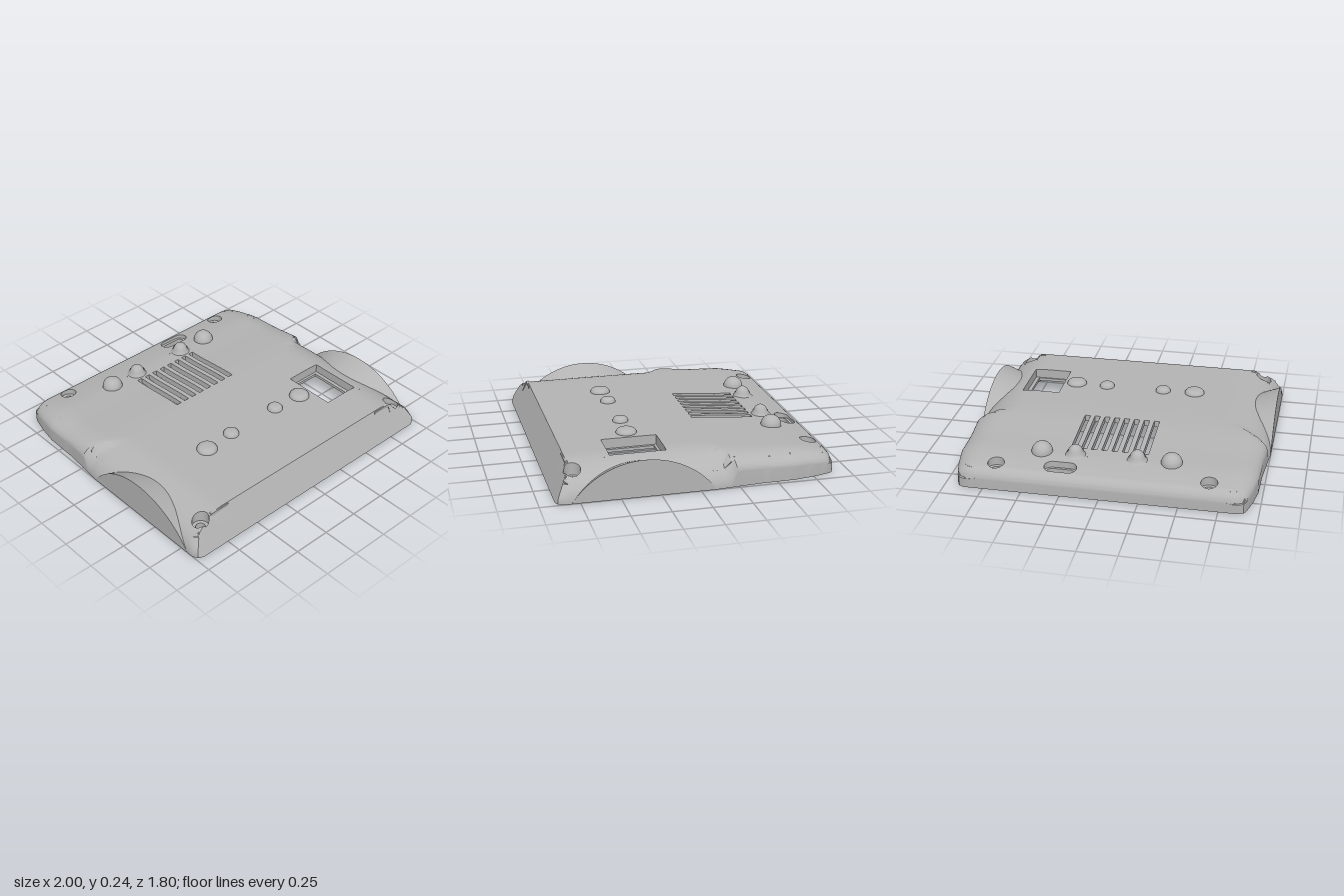
import * as THREE from 'three';
import { toCreasedNormals } from 'three/addons/utils/BufferGeometryUtils.js';

const THICK = 0.04, TOP = 0.205, CELL = 0.04;
const clamp = THREE.MathUtils.clamp, smooth = THREE.MathUtils.smoothstep;

// Half width and crown height along the depth: [z, value]
const WIDTH = [[-0.9, 0.87], [-0.885, 0.905], [-0.86, 0.92], [-0.75, 0.948], [-0.62, 0.97], [-0.4, 0.974],
  [-0.2, 0.99], [-0.1, 1], [0.85, 1], [0.885, 0.985], [0.9, 0.95]];
const CROWN = [[-0.9, 0.125], [-0.84, 0.138], [-0.76, 0.154], [-0.66, 0.17], [-0.56, 0.174], [-0.46, 0.178],
  [-0.34, 0.189], [-0.22, 0.199], [-0.1, 0.204], [0, TOP]];

function lookUp(table, z) {
  for (let i = 1; i < table.length; i++) {
    const [z0, a] = table[i - 1], [z1, b] = table[i];
    if (z <= z1) return a + (b - a) * clamp((z - z0) / (z1 - z0), 0, 1);
  }
  return table[table.length - 1][1];
}

// Height of the outer skin
function height(x, z) {
  const ax = Math.abs(x);
  const seam = -0.06 - 0.48 * (ax - 0.68);
  const front = smooth(z, seam - 0.03, seam + 0.02);
  const inner = 0.8 - 0.1 * front, edge = 0.5 * (1 - front);
  const u = clamp((ax - inner) / (lookUp(WIDTH, z) - inner), 0, 1);
  const v = clamp((-0.84 - z) / 0.06, 0, 1);
  const h = lookUp(CROWN, z) * (edge + (1 - edge) * Math.sqrt(Math.max(0, 1 - u * u - v * v)));
  return Math.max(0, Math.min(h, TOP * (0.9 - z) / 0.1));
}

// Plan contours as [x, z] points
function dense(points, count) {
  return points.flatMap(([x, z], i) => {
    const [x1, z1] = points[(i + 1) % points.length];
    const n = count || Math.max(1, Math.ceil(Math.hypot(x1 - x, z1 - z) / CELL));
    return Array.from({ length: n }, (_, k) => [x + (x1 - x) * k / n, z + (z1 - z) * k / n]);
  });
}
const rect = (x0, x1, z0, z1) => [[x0, z0], [x1, z0], [x1, z1], [x0, z1]];
// Stadium, or a circle when the straight half length is zero
function stadium(cx, cz, r, half = 0) {
  return Array.from({ length: 24 }, (_, i) => {
    const a = (i + 0.5) / 24 * Math.PI * 2;
    return [cx + Math.sign(Math.cos(a)) * half + r * Math.cos(a), cz + r * Math.sin(a)];
  });
}

// Cut triangles along a line so that they can follow the curved skin
function slice(tris, axis, c) {
  const out = [];
  for (const t of tris) {
    const d = t.map(p => p[axis] - c);
    if (Math.min(...d) > -1e-6 || Math.max(...d) < 1e-6) { out.push(t); continue; }
    for (const s of [1, -1]) {
      const poly = [];
      t.forEach((p, i) => {
        const j = (i + 1) % 3, q = t[j];
        if (d[i] * s >= 0) poly.push(p);
        if (d[i] * d[j] < 0) {
          const f = d[i] / (d[i] - d[j]);
          poly.push([p[0] + (q[0] - p[0]) * f, p[1] + (q[1] - p[1]) * f]);
        }
      });
      for (let i = 2; i < poly.length; i++) out.push([poly[0], poly[i - 1], poly[i]]);
    }
  }
  return out;
}
const turn = ([a, b, c]) => (b[0] - a[0]) * (c[1] - a[1]) - (b[1] - a[1]) * (c[0] - a[0]);

// Plan triangles on a square grid; cells without an opening become plain quads
function panel(contour, holes) {
  const vec = list => list.map(([x, z]) => new THREE.Vector2(x, z));
  const all = [contour, ...holes].flat();
  let tris = THREE.ShapeUtils.triangulateShape(vec(contour), holes.map(vec)).map(f => f.map(i => all[i]));
  for (let i = -24; i <= 24; i++) tris = slice(slice(tris, 0, i * CELL), 1, i * CELL);
  const cells = new Map();
  for (const t of tris.filter(t => Math.abs(turn(t)) > 1e-9)) {
    const [i, j] = [0, 1].map(k => Math.floor((t[0][k] + t[1][k] + t[2][k]) / 3 / CELL));
    const key = `${i},${j}`;
    if (!cells.has(key)) cells.set(key, { i, j, area: 0, list: [] });
    const cell = cells.get(key);
    cell.area += Math.abs(turn(t)) / 2;
    cell.list.push(turn(t) > 0 ? [t[0], t[2], t[1]] : t);
  }
  return [...cells.values()].flatMap(({ i, j, area, list }) => {
    if (area < CELL * CELL * 0.9999) return list;
    const [a, b, c, d] = rect(i * CELL, (i + 1) * CELL, j * CELL, (j + 1) * CELL);
    return [[a, d, c], [a, c, b]];
  });
}

// Skin between successive rows of [x, y, z] points
function loft(rows, closed = true) {
  const out = [];
  for (let r = 1; r < rows.length; r++) {
    const a = rows[r - 1], b = rows[r], n = a.length;
    for (let i = 0; i < (closed ? n : n - 1); i++) {
      const j = (i + 1) % n;
      out.push(a[i], b[i], a[j], a[j], b[i], b[j]);
    }
  }
  return out;
}
const level = (c, y) => c.map(([x, z]) => [x, typeof y === 'function' ? y(x, z) : y, z]);

export function createModel() {
  const model = new THREE.Group();
  const grey = new THREE.MeshStandardMaterial({ color: 0xb4b4b4, side: THREE.DoubleSide });
  grey.name = 'plainGrey';
  function add(name, geometry) {
    const mesh = new THREE.Mesh(geometry, grey);
    mesh.name = name;
    model.add(mesh);
    return mesh;
  }
  function addSkin(name, points, crease = 0.5) {
    const g = new THREE.BufferGeometry();
    g.setAttribute('position', new THREE.Float32BufferAttribute(points.flat(), 3));
    add(name, toCreasedNormals(g, crease));
  }
  const under = (x, z) => height(x, z) - THICK;

  // Openings: vents, stepped wells and the cups of the feet
  const vents = Array.from({ length: 8 }, (_, i) => rect(-0.257 + 0.0672 * i, -0.221 + 0.0672 * i, -0.565, -0.145));
  const wells = [
    { name: 'windowWell', outer: rect(0.51, 0.77, 0.165, 0.525), inner: rect(0.53, 0.745, 0.182, 0.515),
      wide: rect(0.495, 0.785, 0.15, 0.54), floor: 0.14, base: 0.12 },
    { name: 'cableSlot', outer: stadium(0.265, -0.79, 0.05, 0.055), inner: stadium(0.265, -0.79, 0.033, 0.055),
      wide: stadium(0.265, -0.79, 0.065, 0.055), floor: 0.115, base: 0.08 },
  ];
  const feet = [];
  for (const s of [1, -1]) {
    for (const [name, x, z, floor, base] of [['frontScrewWell', 0.865, 0.775, 0.11, 0.004], ['rearScrewWell', 0.68, -0.803, 0.1, 0.05]]) {
      wells.push({ name, floor, base, outer: stadium(s * x, z, 0.053), inner: stadium(s * x, z, 0.03), wide: stadium(s * x, z, 0.068) });
    }
    feet.push([s * 0.42, 0.34, 0.068], [s * 0.2, 0.33, 0.052], [s * 0.42, -0.64, 0.068], [s * 0.2, -0.64, 0.052]);
  }
  const holes = [...vents, ...wells.map(w => w.outer), ...feet.map(([x, z, r]) => stadium(x, z, r * 0.78))];

  // Shell: curved top with a steep skirt, inner skin and bottom rim
  const right = WIDTH.map(([z, w]) => [w, z]);
  const corners = [...right, ...right.map(([x, z]) => [-x, z]).reverse()];
  const outline = dense(corners);
  const inset = (f, c = outline) => c.map(([x, z]) => [x * f, z * f]);
  const tris = panel(inset(0.955, corners), holes);
  const rings = [];
  for (let i = 0; i <= 8; i++) rings.push(level(inset(1 - 0.045 * (1 - i / 8) ** 2), height));
  rings.push(level(outline, 0));
  addSkin('outerShell', [...tris.flatMap(t => level(t, height)), ...loft(rings.reverse())]);
  addSkin('innerShell', [...tris.flatMap(([a, b, c]) => level([a, c, b], under)),
    ...loft([level(inset(0.955), under), level(inset(0.955), 0), level(outline, 0)])]);

  for (const v of vents) addSkin('ventWall', loft([level(dense(v, 10), height), level(dense(v, 10), under)]));
  for (const w of wells) {
    const [outer, inner, wide] = [w.outer, w.inner, w.wide].map(c => dense(c, 4));
    addSkin(w.name, loft([level(outer, height), level(outer, w.floor), level(inner, w.floor),
      level(inner, w.base), level(wide, w.base), level(wide, (x, z) => Math.max(w.base, under(x, z) + 0.01))]));
  }

  // Hollow rounded feet with a small peg inside
  for (const [x, z, r] of feet) {
    const base = height(x, z), rise = 0.238 - base;
    const pow = z > 0 ? 0.6 : 1;
    const profile = [[0.78, -THICK - 0.008], [0.95, -THICK - 0.008], [1, -0.015]];
    for (let i = 0; i < 10; i++) {
      const a = i / 10 * Math.PI / 2;
      profile.push([Math.cos(a) ** pow, rise * Math.sin(a)]);
    }
    profile.push([0, rise], [0, rise - 0.02], [0.55, rise - 0.022], [0.78, 0], [0.78, -THICK - 0.008]);
    const lathe = new THREE.LatheGeometry(profile.map(([f, y]) => new THREE.Vector2(r * f, y)), 32);
    add('foot', toCreasedNormals(lathe, 0.6)).position.set(x, base, z);
    add('footPeg', new THREE.CylinderGeometry(r * 0.3, r * 0.3, 0.03, 16)).position.set(x, base + rise - 0.033, z);
    // Flared base of the small rear feet
    if (z < 0 && r < 0.06) {
      const flare = Array.from({ length: 7 }, (_, i) => new THREE.Vector2(r * (1.4 - 0.42 * i / 6), -0.004 + 0.03 * (i / 6) ** 2));
      add('footFlare', new THREE.LatheGeometry(flare, 32)).position.set(x, base, z);
    }
  }

  // Side wings: flat round-topped cheeks whose tops slope in to meet the shell
  for (const s of [1, -1]) {
    const low = [], top = [], sheet = Array.from({ length: 7 }, () => []);
    for (let i = 0; i <= 48; i++) {
      const t = -1 + i / 24, z = 0.353 + 0.452 * t;
      const arc = Math.max(0, Math.sqrt(0.545 ** 2 - (0.452 * t) ** 2) - 0.305);
      let d = 0;
      while (d < 0.3 && arc - 0.4 * d > height(1 - d, z) - 0.002) d += 0.002;
      low.push([s, 0, z]);
      top.push([s, arc, z]);
      sheet.forEach((row, k) => row.push([s * (1 - d * k / 6), arc - 0.4 * d * k / 6, z]));
    }
    const rows = [low, top, ...sheet.slice(1)];
    addSkin('sideWing', loft(s > 0 ? rows.reverse() : rows, false));

    // Small lip on the front crease
    add('frontLip', new THREE.BoxGeometry(0.14, 0.022, 0.02)).position.set(s * 0.735, 0.189, 0.8);
  }
  return model;
}
